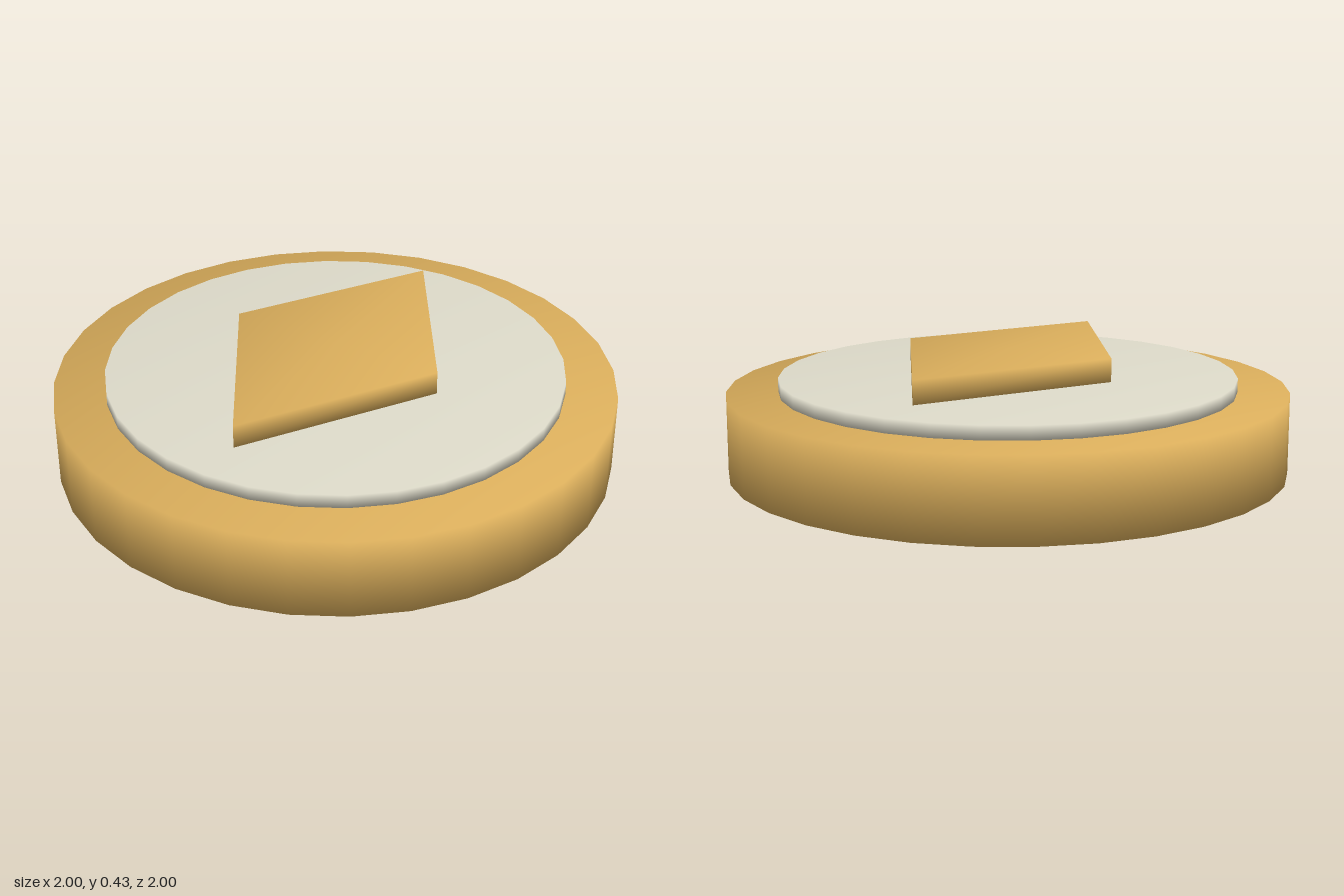
import * as THREE from 'three';
import { mergeVertices } from 'three/addons/utils/BufferGeometryUtils.js';

// Upright prism from y0 to y1, with corners welded so shading runs smoothly over the edges
function softPrism(rx, rz, y0, y1, sides) {
  let geometry = new THREE.CylinderGeometry(1, 1, y1 - y0, sides);
  geometry.scale(rx, 1, rz);
  geometry.translate(0, (y0 + y1) / 2, 0);
  geometry.deleteAttribute('uv');
  geometry.deleteAttribute('normal');
  geometry = mergeVertices(geometry);
  geometry.computeVertexNormals();
  return geometry;
}

export function createModel() {
  const gold = new THREE.MeshStandardMaterial({ color: 0xd9ad5b });
  gold.name = 'gold';
  const ivory = new THREE.MeshStandardMaterial({ color: 0xdddac9 });
  ivory.name = 'ivory';

  const model = new THREE.Group();
  model.name = 'medallion';
  const add = (name, geometry, material) => {
    const mesh = new THREE.Mesh(geometry, material);
    mesh.name = name;
    model.add(mesh);
  };

  // Thick round base
  add('base', softPrism(1, 1, 0, 0.289, 32), gold);
  // Thin inset disc on top
  add('inlayDisc', softPrism(0.816, 0.816, 0.289, 0.338, 32), ivory);
  // Raised diamond, just clear of the disc
  add('diamond', softPrism(0.408, 0.646, 0.347, 0.43, 4), gold);

  return model;
}
